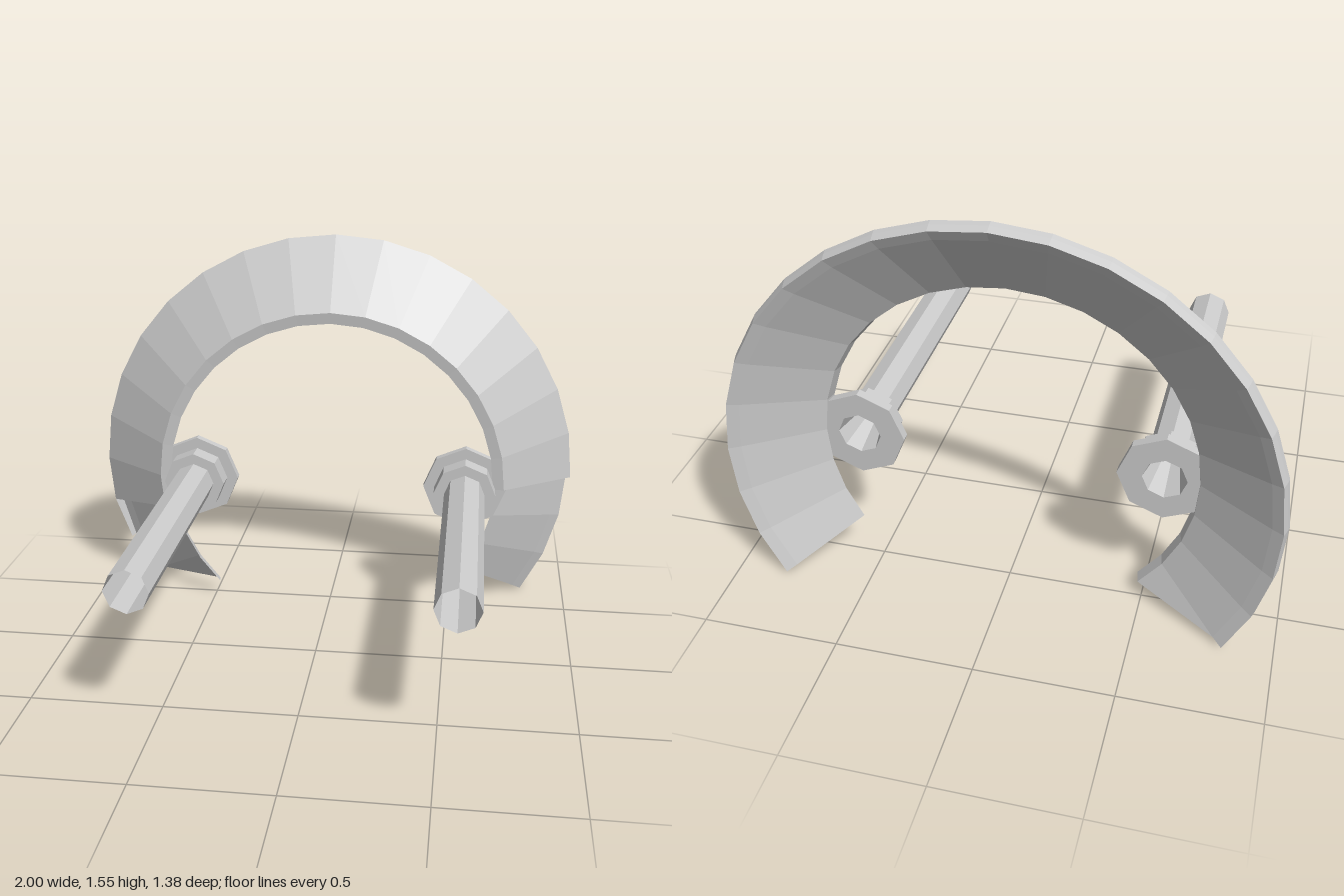
import * as THREE from 'three';

const CENTRE_Y = 0.55;
const STEP = 11.25; // degrees per facet, 32 around a full circle

const material = new THREE.MeshStandardMaterial({
  color: 0xcccccc, flatShading: true, side: THREE.DoubleSide,
});

// Sweeps a profile about the z axis. Each ring is [radius, z, startDeg, endDeg],
// so the ends of an arc can be cut at a slant.
function arcBand(name, rings) {
  const first = Math.min(...rings.map((r) => r[2]));
  const last = Math.max(...rings.map((r) => r[3]));
  const cols = Math.round((last - first) / STEP);
  const pos = [];
  const index = [];
  for (const [radius, z, start, end] of rings) {
    for (let i = 0; i <= cols; i++) {
      const deg = THREE.MathUtils.clamp(first + i * STEP, start, end);
      const a = THREE.MathUtils.degToRad(deg);
      pos.push(radius * Math.cos(a), CENTRE_Y + radius * Math.sin(a), z);
    }
  }
  const row = cols + 1;
  for (let j = 0; j < rings.length - 1; j++) {
    for (let i = 0; i < cols; i++) {
      const a = j * row + i;
      const b = a + row;
      index.push(a, b, a + 1, a + 1, b, b + 1);
    }
  }
  const geo = new THREE.BufferGeometry();
  geo.setAttribute('position', new THREE.Float32BufferAttribute(pos, 3));
  geo.setIndex(index);
  geo.computeVertexNormals();
  const mesh = new THREE.Mesh(geo, material);
  mesh.name = name;
  return mesh;
}

// Eight-sided hollow peg with collar, flange and a pointed socket at the back
function peg(name, x) {
  const profile = [
    [0.082, 0.69], [0.082, -0.38], [0.125, -0.38], [0.125, -0.46],
    [0.17, -0.46], [0.17, -0.495], [0.08, -0.495], [0, -0.15],
  ].map(([r, z]) => new THREE.Vector2(r, z));
  const geo = new THREE.LatheGeometry(profile.reverse(), 8);
  geo.rotateX(Math.PI / 2);
  const mesh = new THREE.Mesh(geo, material);
  mesh.position.set(x, CENTRE_Y, 0);
  mesh.name = name;
  return mesh;
}

export function createModel() {
  const group = new THREE.Group();
  group.name = 'archWithPegs';

  // Outer cone with its narrow flat front lip
  group.add(arcBand('outerShell', [
    [1.0, -0.645, 0, 191.25],
    [0.72, -0.45, 0, 191.25],
    [0.675, -0.455, 0, 191.25],
  ]));

  // Rim wrapping the back edge, tapering away at both ends
  group.add(arcBand('backRim', [
    [1.0, -0.645, 0, 191.25],
    [0.995, -0.665, 11.25, 202.5],
    [0.985, -0.695, 22.5, 202.5],
  ]));

  // Inner cone, longer than the outer one and cut at a slant on one end
  group.add(arcBand('innerShell', [
    [0.685, -0.5, -33.75, 225],
    [0.945, -0.672, -33.75, 213.75],
    [0.985, -0.695, -33.75, 213.75],
  ]));

  // Short inner wall joining the two shells
  group.add(arcBand('innerLip', [
    [0.675, -0.455, 0, 225],
    [0.685, -0.5, 0, 225],
  ]));

  group.add(peg('leftPeg', 0.56), peg('rightPeg', -0.56));
  return group;
}
